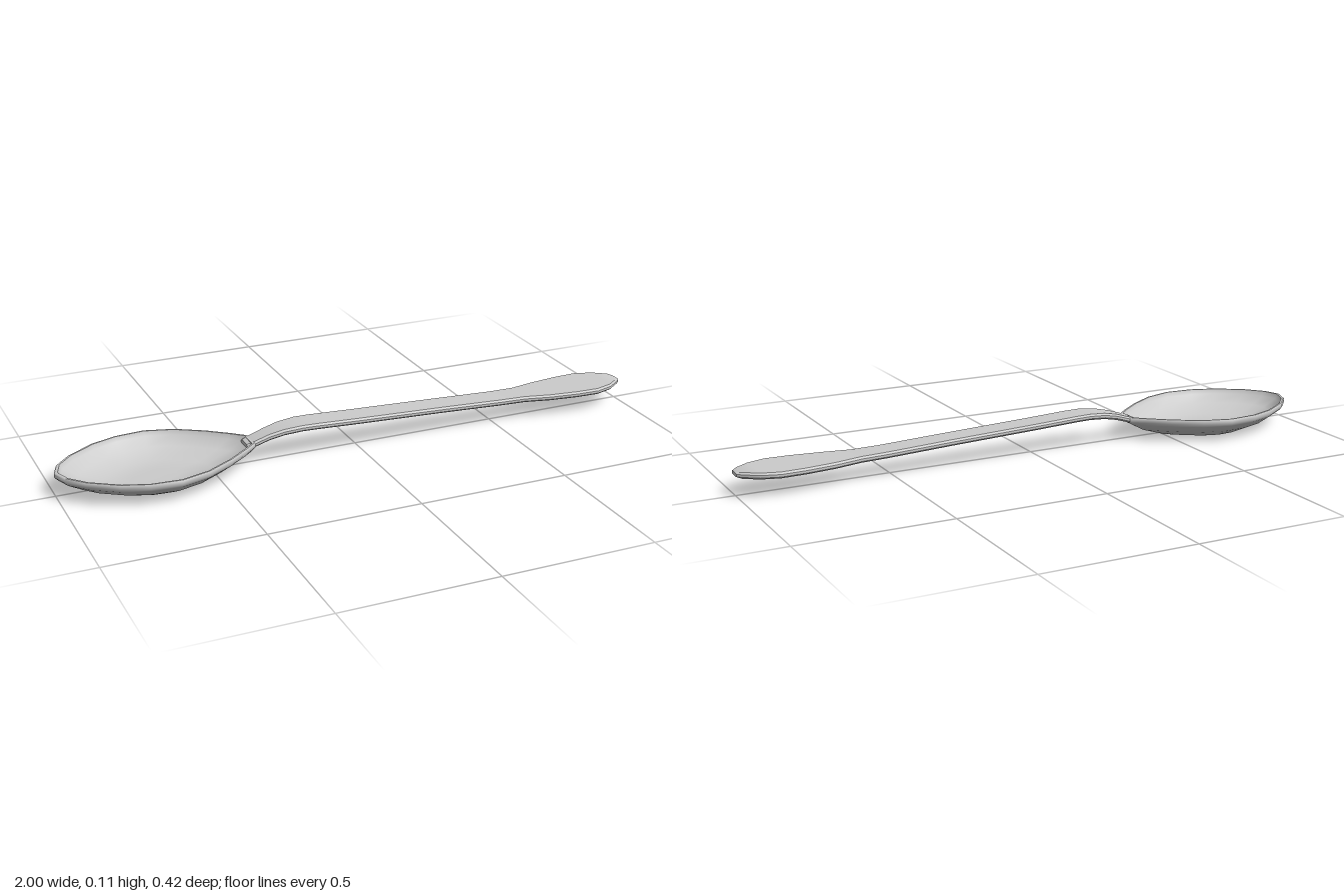
import * as THREE from 'three';
import { toCreasedNormals } from 'three/addons/utils/BufferGeometryUtils.js';

// Skin a sequence of closed rings and cap both ends
function loft(rings, crease) {
  const n = rings[0].length, pos = [], idx = [];
  rings.forEach(r => r.forEach(p => pos.push(...p)));
  for (let i = 0; i < rings.length - 1; i++) {
    for (let j = 0; j < n; j++) {
      const k = (j + 1) % n, a = i * n + j, b = i * n + k;
      idx.push(a, b, b + n, a, b + n, a + n);
    }
  }
  [0, rings.length - 1].forEach((ring, end) => {
    const centre = [0, 1, 2].map(c => rings[ring].reduce((s, p) => s + p[c] / n, 0));
    const c = pos.length / 3, o = ring * n;
    pos.push(...centre);
    for (let j = 0; j < n; j++) {
      const a = o + j, b = o + (j + 1) % n;
      if (end) idx.push(c, a, b); else idx.push(c, b, a);
    }
  });
  const g = new THREE.BufferGeometry();
  g.setAttribute('position', new THREE.Float32BufferAttribute(pos, 3));
  g.setIndex(idx);
  return toCreasedNormals(g, crease);
}

// Bowl: the rim outline, scaled about its centre at each height, out and back in
function bowlGeometry() {
  const half = [[-0.98, 0.055], [-0.93, 0.11], [-0.84, 0.17], [-0.755, 0.2], [-0.655, 0.208],
    [-0.56, 0.18], [-0.47, 0.125], [-0.4, 0.07], [-0.36, 0.034]];
  const outline = [[-1, 0], ...half, ...half.map(([x, z]) => [x, -z]).reverse()];
  const cx = -0.68;
  const levels = [[0.56, 0], [0.82, 0.027], [0.97, 0.053], [1, 0.063], [1, 0.075], [0.99, 0.078],
    [0.965, 0.078], [0.94, 0.062], [0.79, 0.037], [0.54, 0.012], [0.25, 0.01]];
  return loft(levels.map(([s, y]) => outline.map(([x, z]) => [cx + (x - cx) * s, y, z * s])), 0.8);
}

// Handle: a chamfered flat section along stations of [x, top height, half width]
function handleGeometry() {
  const stations = [[-0.385, 0.072, 0.03], [-0.36, 0.08, 0.034], [-0.31, 0.096, 0.036],
    [-0.26, 0.107, 0.042], [-0.2, 0.112, 0.047], [-0.15, 0.111, 0.048], [0, 0.104, 0.048],
    [0.3, 0.092, 0.048], [0.52, 0.082, 0.049], [0.61, 0.08, 0.051], [0.7, 0.079, 0.07],
    [0.8, 0.079, 0.083], [0.88, 0.079, 0.086], [0.94, 0.079, 0.068], [0.985, 0.079, 0.036],
    [1, 0.075, 0.022]];
  const rings = stations.map(([x, top, w], i) => {
    const tip = i === stations.length - 1;
    const bottom = tip ? 0.063 : top - 0.02, a = w - 0.007, c = tip ? 0.002 : 0.006;
    return [[-w, bottom + c], [-w, top - c], [-a, top], [a, top],
      [w, top - c], [w, bottom + c], [a, bottom], [-a, bottom]].map(([z, y]) => [x, y, z]);
  });
  return loft(rings, 0.6);
}

export function createModel() {
  const group = new THREE.Group();
  group.name = 'spoon';
  const material = new THREE.MeshStandardMaterial({ color: 0xcccccc });
  const parts = { bowl: bowlGeometry(), handle: handleGeometry() };
  for (const [name, geometry] of Object.entries(parts)) {
    const mesh = new THREE.Mesh(geometry, material);
    mesh.name = name;
    group.add(mesh);
  }
  return group;
}
